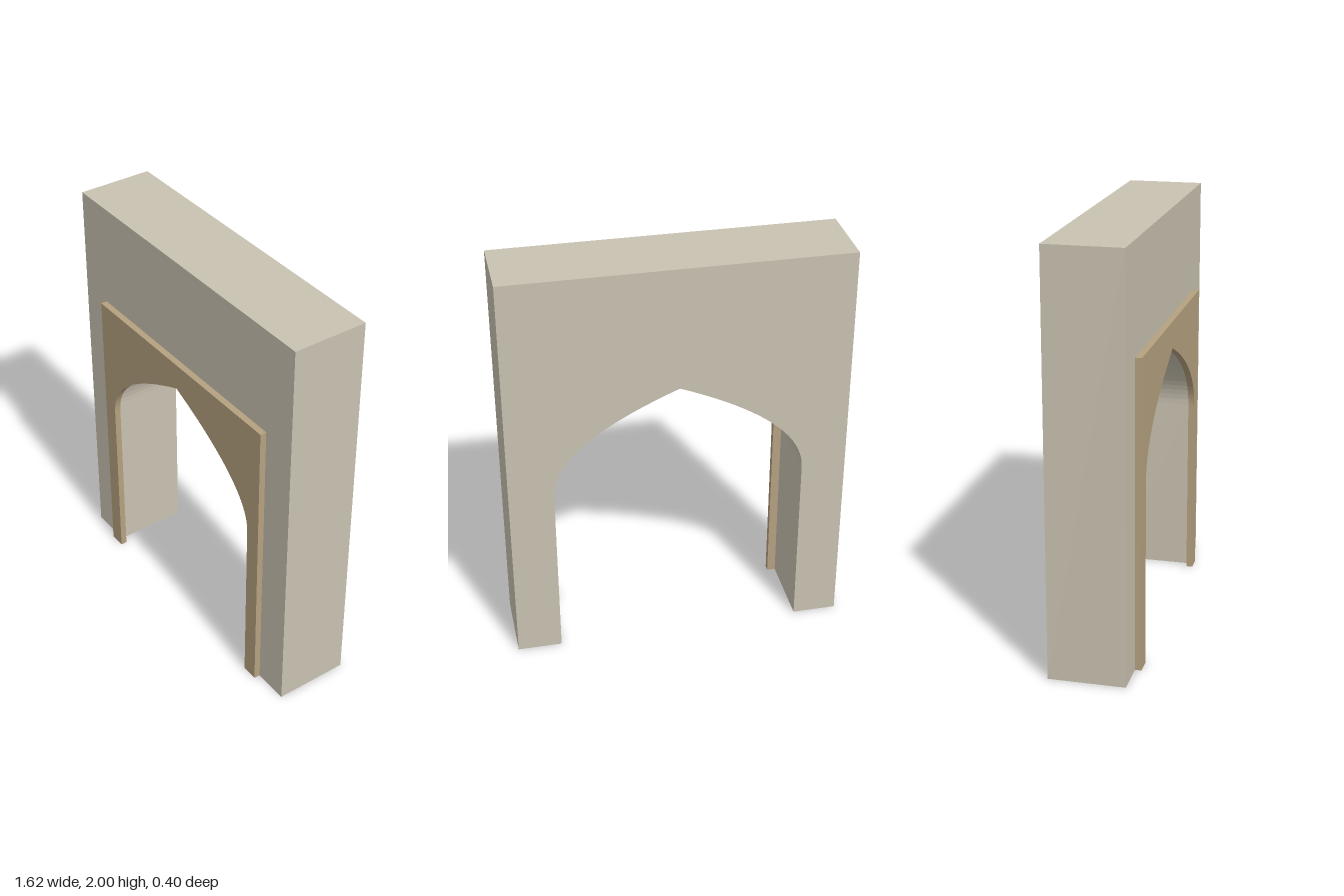
import * as THREE from 'three';

const stone = new THREE.MeshStandardMaterial({ color: 0xc9c2b1 });
stone.name = 'pale stone';
const sandstone = new THREE.MeshStandardMaterial({ color: 0xb5a180 });
sandstone.name = 'tan sandstone';

// Slab standing on y = 0 with a pointed-arch doorway cut through it
function archedSlab(name, material, slab, arch) {
  const { halfWidth, height, back, front } = slab;
  const { half, spring, shoulder, apex } = arch;
  const shape = new THREE.Shape();
  shape.moveTo(-halfWidth, 0);
  shape.lineTo(-half, 0);
  shape.lineTo(-half, spring);
  shape.quadraticCurveTo(-half, shoulder, 0, apex);
  shape.quadraticCurveTo(half, shoulder, half, spring);
  shape.lineTo(half, 0);
  shape.lineTo(halfWidth, 0);
  shape.lineTo(halfWidth, height);
  shape.lineTo(-halfWidth, height);
  shape.closePath();

  const geometry = new THREE.ExtrudeGeometry(shape, {
    depth: front - back, bevelEnabled: false, curveSegments: 20,
  });
  geometry.translate(0, 0, back);
  const mesh = new THREE.Mesh(geometry, material);
  mesh.name = name;
  return mesh;
}

export function createModel() {
  const model = new THREE.Group();
  model.name = 'archedGateway';

  // Thick wall with the wider opening
  model.add(archedSlab('wall', stone,
    { halfWidth: 0.812, height: 2, back: -0.198, front: 0.167 },
    { half: 0.598, spring: 0.89, shoulder: 1.16, apex: 1.4 }));

  // Thin surround on the front, its opening slightly narrower
  model.add(archedSlab('archSurround', sandstone,
    { halfWidth: 0.638, height: 1.488, back: 0.167, front: 0.198 },
    { half: 0.557, spring: 0.89, shoulder: 1.13, apex: 1.357 }));

  return model;
}
